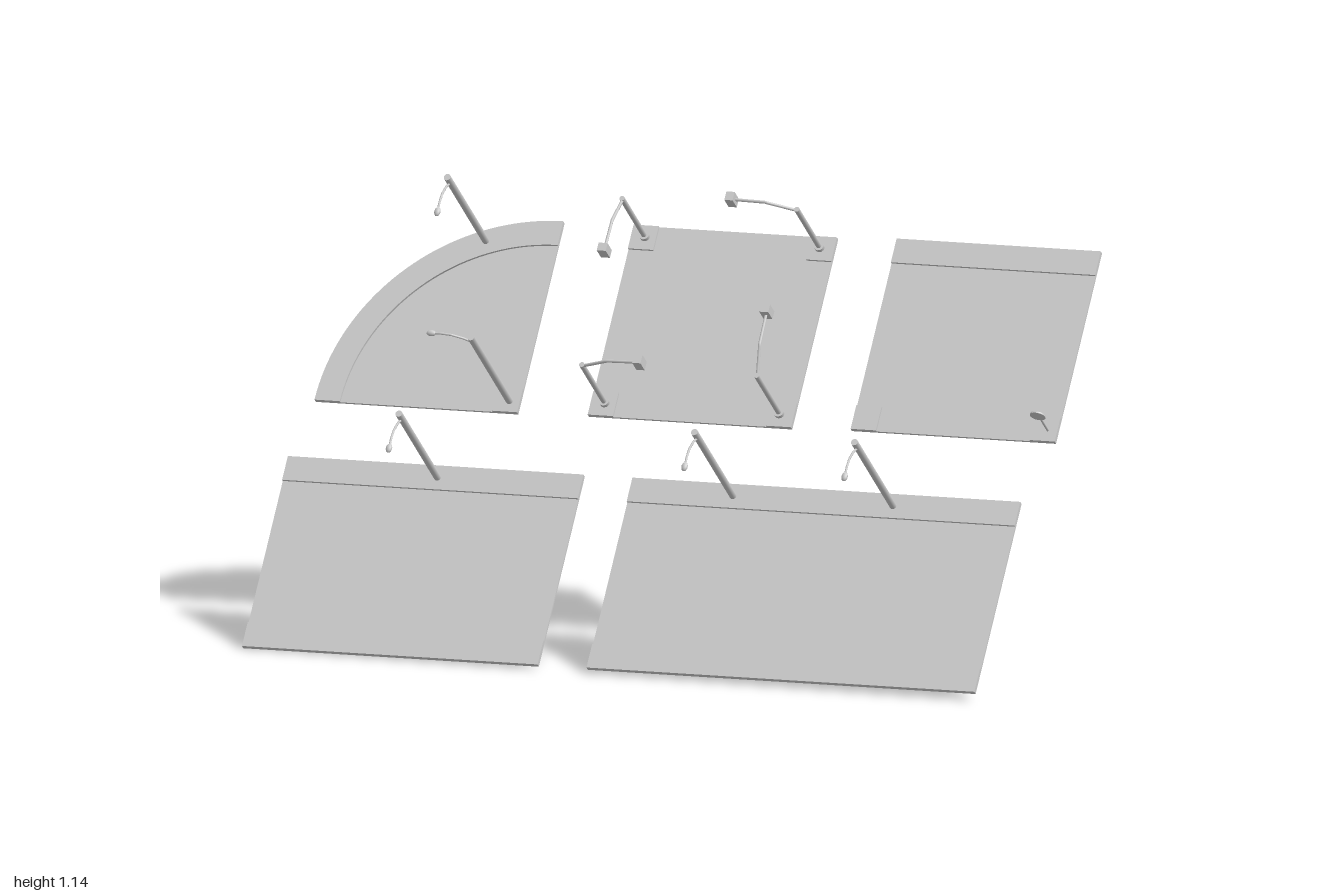
import * as THREE from 'three';

const mat = new THREE.MeshStandardMaterial({ color: 0xcccccc, side: THREE.DoubleSide });
const ROAD = 0.006, CURB = 0.012, BACK = -0.003, WALK = 0.067;
const TOP = BACK + CURB;

function add(parent, name, geometry, x = 0, y = 0, z = 0) {
  const mesh = new THREE.Mesh(geometry, mat);
  mesh.name = name;
  mesh.position.set(x, y, z);
  parent.add(mesh);
  return mesh;
}

// Flat slab spanning x0..x1, y0..y1, resting on the common back plane
function slab(parent, name, x0, x1, y0, y1, depth) {
  return add(parent, name, new THREE.BoxGeometry(x1 - x0, y1 - y0, depth),
    (x0 + x1) / 2, (y0 + y1) / 2, BACK + depth / 2);
}

// Upright cylinder along +z, starting at z0
function post(parent, name, r, h, z0 = 0, sides = 12) {
  const g = new THREE.CylinderGeometry(r, r, h, sides).rotateX(Math.PI / 2);
  return add(parent, name, g, 0, 0, z0 + h / 2);
}

// Arm through [reach, height] points, reaching out along +x
function arm(parent, name, points, r) {
  const path = new THREE.CurvePath();
  const p = points.map(([x, z]) => new THREE.Vector3(x, 0, z));
  for (let i = 1; i < p.length; i++) path.add(new THREE.LineCurve3(p[i - 1], p[i]));
  add(parent, name, new THREE.TubeGeometry(path, 20, r, 8), 0, 0, 0);
}

// Tall street lamp; angle is the direction its arm reaches
function streetLamp(parent, x, y, angle) {
  const g = new THREE.Group();
  g.name = 'streetLamp';
  g.position.set(x, y, BACK);
  g.rotation.z = angle;
  post(g, 'lampPole', 0.009, 0.35);
  arm(g, 'lampArm', [[0, 0.32], [0.022, 0.341], [0.05, 0.356], [0.075, 0.36], [0.095, 0.359]], 0.003);
  const head = add(g, 'lampHead', new THREE.SphereGeometry(0.008, 12, 8), 0.102, 0, 0.359);
  head.scale.set(1.6, 1, 0.8);
  parent.add(g);
}

// Signal pole with a kinked arm and a hanging box
function trafficLight(parent, x, y, angle) {
  const g = new THREE.Group();
  g.name = 'trafficLight';
  g.position.set(x, y, BACK);
  g.rotation.z = angle;
  post(g, 'signalBase', 0.013, 0.022);
  post(g, 'signalPole', 0.007, 0.215);
  arm(g, 'signalArm', [[0, 0.208], [0.076, 0.243], [0.16, 0.247]], 0.004);
  add(g, 'signalBox', new THREE.BoxGeometry(0.022, 0.024, 0.037), 0.163, 0, 0.247);
  parent.add(g);
}

// Straight road with a pavement on both long sides
function straightRoad(parent, x0, x1, y0, y1, lamps) {
  const g = new THREE.Group();
  g.name = 'straightRoad';
  slab(g, 'roadSurface', x0, x1, y0, y1, ROAD);
  slab(g, 'lowerPavement', x0, x1, y0, y0 + WALK, CURB);
  slab(g, 'upperPavement', x0, x1, y1 - WALK, y1, CURB);
  for (const x of lamps) streetLamp(g, x, y1 - WALK / 2, -Math.PI / 2);
  parent.add(g);
}

// Quarter-circle bend with a curved outer pavement
function roadBend(parent, cx, cy, r) {
  const g = new THREE.Group();
  g.name = 'roadBend';
  const sector = new THREE.Shape();
  sector.moveTo(0, 0).lineTo(0, r).absarc(0, 0, r, Math.PI / 2, Math.PI, false).lineTo(0, 0);
  const ring = new THREE.Shape();
  ring.absarc(0, 0, r, Math.PI / 2, Math.PI, false);
  ring.absarc(0, 0, r - WALK, Math.PI, Math.PI / 2, true);
  const extrude = (s, depth) =>
    new THREE.ExtrudeGeometry(s, { depth, bevelEnabled: false, curveSegments: 20 });
  add(g, 'bendSurface', extrude(sector, ROAD), cx, cy, BACK);
  add(g, 'curvedPavement', extrude(ring, CURB), cx, cy, BACK);
  slab(g, 'cornerPavement', cx - WALK, cx, cy, cy + WALK, CURB);
  streetLamp(g, cx - 0.19, cy + 0.47, -Math.PI / 2);
  streetLamp(g, cx - 0.027, cy + 0.03, Math.PI);
  parent.add(g);
}

// Crossroads: four corner pavements, each with a traffic light
function crossroads(parent, x0, x1, y0, y1) {
  const g = new THREE.Group();
  g.name = 'crossroads';
  slab(g, 'crossingSurface', x0, x1, y0, y1, ROAD);
  const corners = [[0, 0, 0], [1, 0, Math.PI / 2], [1, 1, Math.PI], [0, 1, -Math.PI / 2]];
  for (const [i, j, angle] of corners) {
    const x = i ? x1 - WALK : x0, y = j ? y1 - WALK : y0;
    slab(g, 'cornerPavement', x, x + WALK, y, y + WALK, CURB);
    trafficLight(g, i ? x1 - 0.038 : x0 + 0.038, y + WALK / 2 + 0.002, angle);
  }
  parent.add(g);
}

// T-junction: one full pavement, two corners and a round sign
function junction(parent, x0, x1, y0, y1) {
  const g = new THREE.Group();
  g.name = 'junction';
  slab(g, 'junctionSurface', x0, x1, y0, y1, ROAD);
  slab(g, 'upperPavement', x0, x1, y1 - WALK, y1, CURB);
  slab(g, 'leftCorner', x0, x0 + WALK, y0, y0 + WALK, CURB);
  slab(g, 'rightCorner', x1 - WALK, x1, y0, y0 + WALK, CURB);
  const sign = new THREE.Group();
  sign.name = 'roadSign';
  sign.position.set(x1 - 0.025, y0 + 0.03, TOP);
  post(sign, 'signPole', 0.003, 0.085, -0.01, 8);
  add(sign, 'signDisc', new THREE.CylinderGeometry(0.02, 0.02, 0.004, 24), 0, -0.004, 0.085);
  g.add(sign);
  parent.add(g);
}

export function createModel() {
  const model = new THREE.Group();
  model.name = 'roadTiles';

  // All tiles share one tilted plane
  const plane = new THREE.Group();
  plane.name = 'tiltedTiles';
  plane.position.set(0, 0.012, 0.37);
  plane.rotation.set(-0.664, 0, 0.01);
  model.add(plane);

  straightRoad(plane, -0.995, -0.21, 0, 0.535, [-0.59]);
  straightRoad(plane, -0.08, 0.95, 0, 0.535, [0.195, 0.62]);
  roadBend(plane, -0.423, 0.696, 0.538);
  crossroads(plane, -0.237, 0.303, 0.702, 1.237);
  junction(plane, 0.46, 1.002, 0.708, 1.244);
  return model;
}
